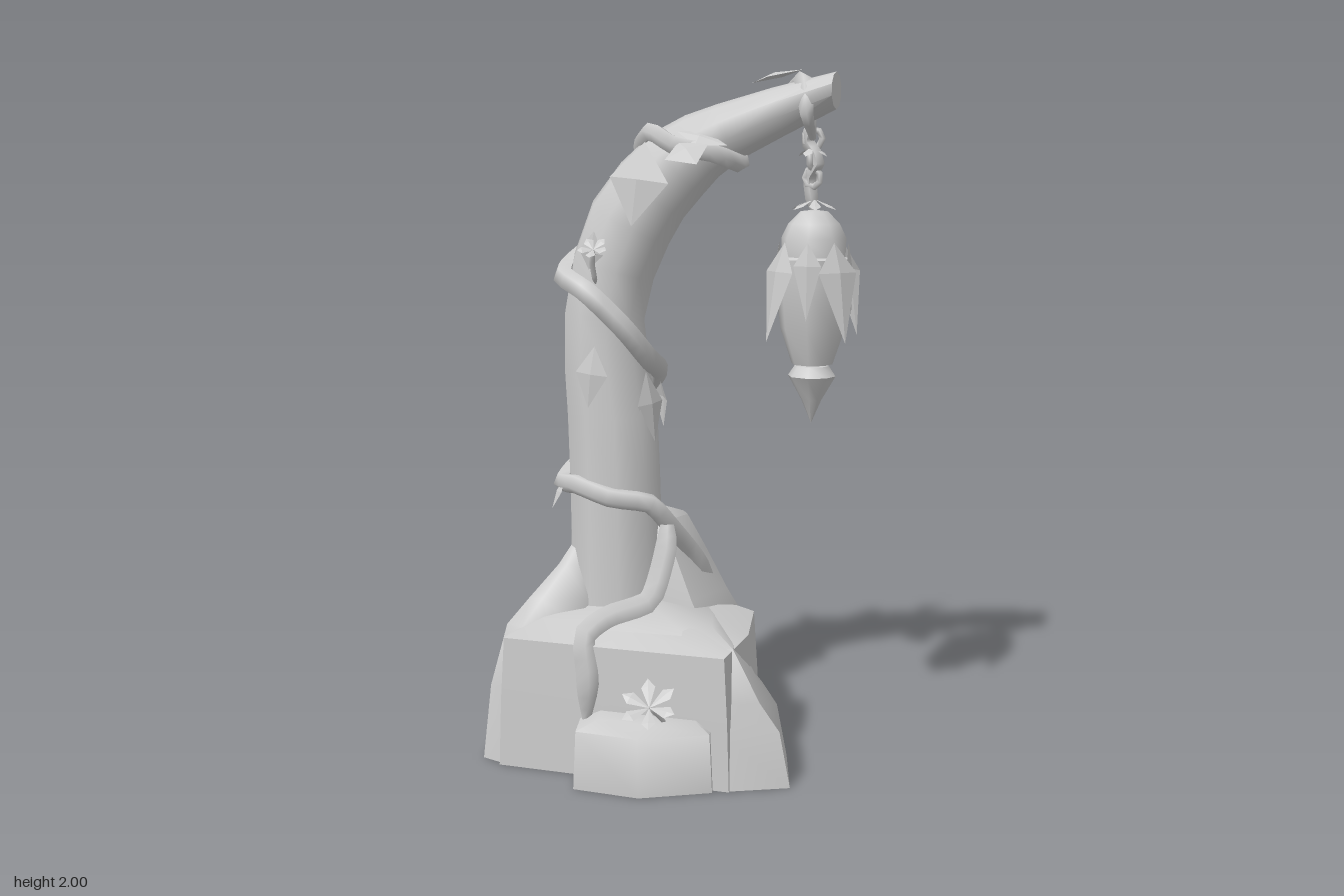
import * as THREE from 'three';
import { toCreasedNormals } from 'three/addons/utils/BufferGeometryUtils.js';

const V = (a) => new THREE.Vector3(...a);
const grey = new THREE.MeshStandardMaterial({ color: 0xcccccc, side: THREE.DoubleSide });
grey.name = 'light grey';

export function createModel() {
  const model = new THREE.Group();
  const add = (name, geo, parent = model) => {
    const m = new THREE.Mesh(geo, grey);
    m.name = name;
    parent.add(m);
    return m;
  };

  // Skin rings stacked upward, each counterclockwise when seen from above
  const loft = (rings, crease) => {
    const n = rings[0].length, pos = [], idx = [];
    rings.forEach((r) => r.forEach((p) => pos.push(p.x, p.y, p.z)));
    for (let i = 0; i < rings.length - 1; i++) {
      for (let j = 0; j < n; j++) {
        const a = i * n + j, b = i * n + (j + 1) % n;
        idx.push(a, b, a + n, b, b + n, a + n);
      }
    }
    const g = new THREE.BufferGeometry();
    g.setAttribute('position', new THREE.Float32BufferAttribute(pos, 3));
    g.setIndex(idx);
    return toCreasedNormals(g, crease);
  };

  // Rock or root: outline [x, z] at the ground, levels [y, scale, centreX, centreZ]
  const rock = (name, outline, levels) => {
    const [, , cx, cz] = levels[0];
    const rings = levels.map(([y, s, x, z]) =>
      outline.map((p) => new THREE.Vector3(x + (p[0] - cx) * s, y, z + (p[1] - cz) * s)));
    add(name, loft(rings, 1.0));
  };

  // Vine: angular tube that thins toward its ends
  const vine = (name, points, radius = 0.028, sides = 5) => {
    const curve = new THREE.CatmullRomCurve3(points.map(V), false, 'catmullrom', 0.3);
    const seg = points.length * 3;
    const g = new THREE.TubeGeometry(curve, seg, radius, sides);
    const p = g.attributes.position, v = new THREE.Vector3();
    for (let i = 0; i < p.count; i++) {
      const t = Math.floor(i / (sides + 1)) / seg;
      const k = 0.35 + 0.65 * Math.min(1, 8 * Math.min(t, 1 - t));
      const c = curve.getPointAt(t);
      v.fromBufferAttribute(p, i).sub(c).multiplyScalar(k).add(c);
      p.setXYZ(i, v.x, v.y, v.z);
    }
    g.computeVertexNormals();
    add(name, g);
  };

  // Leaf: folded diamond from a base point to a tip, facing along a normal
  const leaf = (name, base, tip, normal, width, parent = model, belly = 0.45) => {
    const a = V(base), b = V(tip), n = V(normal).normalize();
    const side = b.clone().sub(a).cross(n).normalize().multiplyScalar(width / 2);
    const mid = a.clone().lerp(b, belly);
    const l = mid.clone().add(side), r = mid.clone().sub(side);
    mid.addScaledVector(n, width * 0.1);
    const g = new THREE.BufferGeometry().setFromPoints([a, l, mid, l, b, mid, b, r, mid, r, a, mid]);
    g.computeVertexNormals();
    add(name, g, parent);
  };

  // Rosette of leaves around an axis
  const rosette = (name, centre, axis, count, radius, width, lift) => {
    const group = new THREE.Group();
    group.name = name;
    for (let i = 0; i < count; i++) {
      const a = i / count * Math.PI * 2 + 0.3;
      const tip = [Math.cos(a) * radius, lift, Math.sin(a) * radius];
      leaf('petal', [0, 0, 0], tip, [0, 1, 0], width, group, 0.7);
    }
    group.position.set(...centre);
    group.quaternion.setFromUnitVectors(new THREE.Vector3(0, 1, 0), V(axis).normalize());
    model.add(group);
  };

  // Rocks and spreading roots at the foot
  rock('mainRock', [[-0.16, 0.28], [0.25, 0.29], [0.415, 0.22], [0.36, -0.02], [0.27, -0.22], [0.2, -0.29], [-0.05, -0.29], [-0.2, -0.1]],
    [[0, 1, 0, 0], [0.16, 0.92, 0, 0.01], [0.24, 0.78, 0, 0.04], [0.39, 0.71, -0.05, 0.05], [0.43, 0.55, -0.06, 0.02], [0.47, 0, -0.1, 0]]);
  rock('frontRock', [[-0.44, 0.27], [-0.1, 0.285], [0.255, 0.295], [0.275, 0.05], [0.24, -0.2], [-0.42, -0.1]],
    [[0, 1, -0.12, 0.05], [0.2, 0.98, -0.12, 0.05], [0.385, 0.95, -0.12, 0.05], [0.425, 0.68, -0.12, 0.02], [0.47, 0, -0.13, 0]]);
  rock('leftBackRock', [[-0.42, -0.29], [-0.42, 0], [-0.2, 0], [-0.2, -0.28]],
    [[0, 1, -0.3, -0.14], [0.33, 0.9, -0.3, -0.13], [0.4, 0.6, -0.28, -0.12], [0.42, 0, -0.27, -0.1]]);
  rock('middleBackRock', [[-0.12, -0.3], [-0.12, -0.1], [0.05, -0.1], [0.06, -0.3]],
    [[0, 1, -0.03, -0.2], [0.33, 0.94, -0.03, -0.19], [0.36, 0.7, -0.03, -0.17], [0.38, 0, -0.03, -0.15]]);
  rock('smallRock', [[-0.2, 0.25], [-0.175, 0.385], [0.02, 0.4], [0.21, 0.31], [0.2, 0.22]],
    [[0, 1, 0, 0.29], [0.17, 0.96, 0, 0.29], [0.2, 0.7, 0.01, 0.28], [0.2, 0, 0.01, 0.27]]);
  rock('sideRoot', [[-0.53, -0.02], [-0.505, 0.23], [-0.44, 0.255], [-0.25, 0.17], [-0.2, -0.02], [-0.32, -0.09], [-0.47, -0.07]],
    [[0, 1, -0.38, 0.07], [0.22, 0.93, -0.37, 0.06], [0.4, 0.84, -0.34, 0.04], [0.47, 0.66, -0.31, 0.02], [0.56, 0.42, -0.27, -0.01], [0.63, 0.26, -0.25, -0.02], [0.67, 0, -0.22, -0.03]]);
  rock('backRoot', [[-0.34, -0.25], [-0.28, -0.1], [-0.1, -0.1], [-0.06, -0.25], [-0.08, -0.44], [-0.365, -0.405]],
    [[0, 1, -0.2, -0.25], [0.2, 0.88, -0.2, -0.23], [0.4, 0.76, -0.2, -0.22], [0.46, 0.6, -0.2, -0.18], [0.58, 0.4, -0.19, -0.15], [0.66, 0, -0.18, -0.13]]);
  rock('innerRoot', [[-0.02, -0.29], [-0.12, -0.2], [-0.08, 0.04], [0.16, 0.02], [0.25, -0.2], [0.2, -0.29]],
    [[0, 1, 0.04, -0.14], [0.35, 0.88, 0.02, -0.13], [0.46, 0.77, -0.02, -0.12], [0.59, 0.64, -0.06, -0.12], [0.69, 0.45, -0.07, -0.11], [0.73, 0, -0.08, -0.1]]);

  // Curved trunk: [x, y, z, in-plane radius, depth radius]
  const stations = [
    [-0.17, 0.3, -0.05, 0.155, 0.15], [-0.175, 0.65, -0.05, 0.142, 0.135], [-0.187, 1.0, -0.055, 0.14, 0.13],
    [-0.21, 1.3, -0.06, 0.122, 0.125], [-0.13, 1.57, -0.065, 0.13, 0.115], [0.01, 1.74, -0.075, 0.115, 0.108],
    [0.16, 1.83, -0.08, 0.085, 0.1], [0.463, 1.942, -0.09, 0.052, 0.088]];
  const spine = new THREE.CatmullRomCurve3(stations.map((s) => V(s.slice(0, 3))), false, 'centripetal');
  const last = stations.length - 1, rings = [];
  for (let i = 0; i <= last * 2; i++) {
    const t = i / (last * 2), k = Math.min(last - 1, Math.floor(i / 2)), f = i / 2 - k;
    const c = spine.getPoint(t), d = spine.getTangent(t);
    // the cut end stands upright
    const out = i === last * 2 ? new THREE.Vector3(0, 1, 0) : new THREE.Vector3(-d.y, d.x, 0).normalize();
    const mix = (q) => THREE.MathUtils.lerp(stations[k][q], stations[k + 1][q], f);
    rings.push(Array.from({ length: 10 }, (_, j) => {
      const a = j / 10 * Math.PI * 2;
      return c.clone().addScaledVector(out, Math.cos(a) * mix(3)).add(new THREE.Vector3(0, 0, Math.sin(a) * mix(4)));
    }));
  }
  const end = V(stations[last].slice(0, 3));
  rings.push(rings.at(-1).map(() => end.clone()));
  add('trunk', loft(rings, 0.8));

  // Vines spiralling around the trunk
  vine('lowerVine', [[-0.1, 1.06, -0.19], [-0.2, 0.93, -0.19], [-0.31, 0.84, -0.12], [-0.325, 0.8, 0], [-0.27, 0.81, 0.06],
    [-0.15, 0.78, 0.09], [-0.04, 0.76, 0.05], [0.01, 0.68, -0.01], [0.06, 0.57, -0.1], [0.11, 0.41, -0.19]], 0.03);
  vine('rootVine', [[0, 0.73, 0.01], [0, 0.62, 0.03], [-0.03, 0.48, 0.1], [-0.13, 0.45, 0.19], [-0.18, 0.41, 0.26], [-0.165, 0.3, 0.28], [-0.165, 0.17, 0.29]], 0.034);
  vine('middleVine', [[-0.14, 1.59, -0.18], [-0.24, 1.52, -0.17], [-0.32, 1.44, -0.08], [-0.31, 1.41, 0.01], [-0.22, 1.37, 0.07],
    [-0.12, 1.27, 0.05], [-0.07, 1.18, -0.02], [-0.06, 1.13, -0.12], [-0.1, 1.06, -0.19]], 0.033);
  vine('upperVine', [[-0.24, 1.52, -0.17], [-0.14, 1.6, -0.18], [-0.12, 1.74, -0.17], [-0.1, 1.8, -0.09], [-0.05, 1.83, -0.01],
    [0.03, 1.79, 0.03], [0.14, 1.77, 0.02], [0.2, 1.74, -0.06], [0.16, 1.78, -0.17], [0.28, 1.89, -0.18], [0.35, 1.97, -0.14], [0.38, 1.95, -0.05], [0.395, 1.88, 0], [0.4, 1.81, -0.08]], 0.027);
  vine('hangingVine', [[0.4, 1.87, -0.1], [0.38, 1.8, -0.12], [0.415, 1.75, -0.1], [0.385, 1.7, -0.13], [0.4, 1.6, -0.12]], 0.02);
  [1.81, 1.75, 1.7].forEach((y, i) => {
    const ring = add('chainLink', new THREE.TorusGeometry(0.026, 0.01, 5, 7));
    ring.position.set(0.395, y, -0.115);
    ring.rotation.y = i * 1.4;
  });

  // Hanging pod lantern with a pointed tail
  const turn = (name, pts) => {
    const g = new THREE.LatheGeometry(pts.map((p) => new THREE.Vector2(...p)), 8);
    add(name, toCreasedNormals(g, 0.9)).position.set(0.4, 0, -0.122);
  };
  turn('podBody', [[0, 1.16], [0.06, 1.165], [0.095, 1.27], [0.108, 1.4], [0.108, 1.47], [0.085, 1.48]]);
  turn('podCap', [[0.092, 1.46], [0.094, 1.53], [0.075, 1.57], [0.04, 1.605], [0, 1.61]]);
  turn('podTail', [[0, 0.99], [0.03, 1.06], [0.07, 1.13], [0.05, 1.16], [0, 1.165]]);
  // Petals flare widest on the diagonals
  for (let i = 0; i < 8; i++) {
    const a = i / 8 * Math.PI * 2, c = Math.cos(a), s = Math.sin(a), wide = i % 2;
    const at = (r, y) => [0.4 + c * r, y, -0.122 + s * r];
    leaf('podLeaf', at(0.1, 1.52), at(wide ? 0.16 : 0.112, wide ? 1.24 : 1.3), [c, 0.1, s], wide ? 0.13 : 0.08, model, 0.3);
  }
  rosette('podStar', [0.4, 1.64, -0.12], [0, 1, 0], 6, 0.07, 0.035, -0.03);
  rosette('podKnot', [0.395, 1.79, -0.11], [0, 1, 0], 4, 0.045, 0.03, -0.03);

  // Single leaves on the vines
  [
    [[-0.06, 1.8, 0.03], [-0.09, 1.565, 0.07], [-0.1, 0.15, 1], 0.18],
    [[0.04, 1.8, 0.04], [0.12, 1.74, 0.15], [0, 0.8, 0.6], 0.13],
    [[0.03, 1.83, 0.02], [0.18, 1.79, 0.03], [0, 0.8, 0.6], 0.07],
    [[0.22, 1.965, -0.1], [0.37, 2.0, -0.08], [-0.2, 1, 0], 0.13],
    [[0.02, 1.8, -0.17], [0.12, 1.83, -0.28], [0, 1, 0], 0.06],
    [[-0.2, 1.22, 0.075], [-0.22, 1.04, 0.08], [-0.1, 0, 1], 0.1],
    [[-0.07, 1.14, -0.01], [-0.045, 0.93, -0.02], [1, 0, 0.6], 0.1],
    [[-0.07, 1.12, -0.14], [-0.06, 0.95, -0.17], [1, 0, -0.8], 0.1],
    [[-0.22, 1.44, 0.06], [-0.2, 1.55, 0.07], [-0.2, 0, 1], 0.08],
    [[-0.31, 0.82, 0.03], [-0.34, 0.73, 0.06], [-1, 0, 0.6], 0.07],
    [[-0.24, 1.53, -0.18], [-0.32, 1.5, -0.23], [-0.3, 0.8, -0.5], 0.08],
    [[0.05, 0.5, -0.15], [0.14, 0.4, -0.25], [0.6, 0.8, 0], 0.07],
  ].forEach(([b, t, n, w]) => leaf('vineLeaf', b, t, n, w));

  // Small sprouts on stems
  rosette('frontSprout', [0.04, 0.25, 0.355], [0, 0.8, 0.6], 6, 0.085, 0.04, 0.02);
  vine('frontStem', [[0.08, 0.18, 0.3], [0.06, 0.22, 0.33], [0.04, 0.25, 0.355]], 0.008, 4);
  rosette('backSprout', [-0.02, 0.4, -0.31], [0, 1, -0.2], 5, 0.07, 0.04, 0.02);
  vine('backStem', [[-0.02, 0.3, -0.25], [-0.02, 0.36, -0.29], [-0.02, 0.4, -0.31]], 0.008, 4);
  rosette('trunkSprout', [-0.19, 1.5, 0.11], [0, 0.8, 0.6], 5, 0.045, 0.03, 0.01);
  vine('trunkStem', [[-0.2, 1.4, 0.06], [-0.2, 1.46, 0.09], [-0.19, 1.5, 0.11]], 0.008, 4);

  return model;
}
